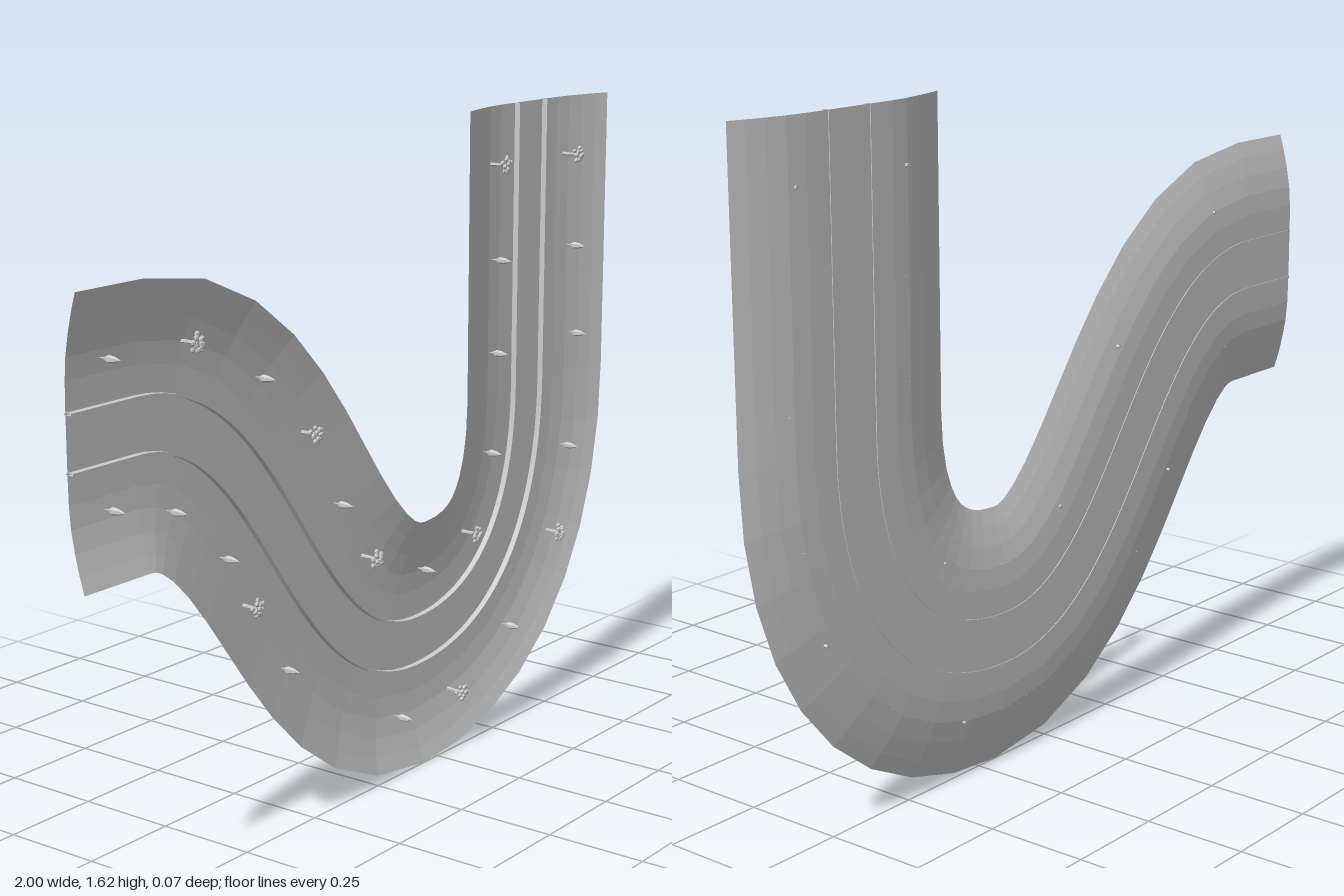
import * as THREE from 'three';
import { mergeGeometries } from 'three/addons/utils/BufferGeometryUtils.js';

const V = (x, y) => new THREE.Vector2(x, y);

// Centre line: short straight, S-bend, quarter turn, long straight
const pieces = [
  [new THREE.LineCurve(V(-1, 1.057), V(-0.8, 1.057)), 2],
  [new THREE.CubicBezierCurve(V(-0.8, 1.057), V(-0.35, 1.057), V(-0.26, 0.317), V(0.19, 0.317)), 12],
  [new THREE.CubicBezierCurve(V(0.19, 0.317), V(0.5, 0.317), V(0.685, 0.537), V(0.685, 0.9)), 9],
  [new THREE.LineCurve(V(0.685, 0.9), V(0.685, 1.617)), 5],
];

// Rows of position and tangent along the centre line
function sampleRows(detail) {
  const rows = [];
  pieces.forEach(([curve, n], k) => {
    for (let i = k ? 1 : 0; i <= n * detail; i++) {
      const t = i / (n * detail);
      rows.push({ p: curve.getPoint(t), t: curve.getTangent(t) });
    }
  });
  return rows;
}

// Sweeps a cross-section of [sideways, z] points along the rows
function sweep(profile, rows) {
  const pos = [], index = [], m = profile.length;
  rows.forEach(({ p, t }, i) => {
    for (const [u, z] of profile) pos.push(p.x - t.y * u, p.y + t.x * u, z);
    if (!i) return;
    for (let j = 0; j < m - 1; j++) {
      const a = (i - 1) * m + j, b = i * m + j;
      index.push(a, b, b + 1, a, b + 1, a + 1);
    }
  });
  const g = new THREE.BufferGeometry();
  g.setAttribute('position', new THREE.Float32BufferAttribute(pos, 3));
  g.setIndex(index);
  g.computeVertexNormals();
  return g;
}

// Small seeded random generator
let seed = 7;
const rnd = () => (seed = (seed * 16807) % 2147483647) / 2147483647;

// Tree with a thin trunk and a ragged crown of small leaf clumps
function bigTree() {
  const parts = [new THREE.CylinderGeometry(0.003, 0.005, 0.05, 5).rotateX(Math.PI / 2).toNonIndexed().translate(0, 0, -0.013)];
  for (let i = 0; i < 12; i++) {
    const a = i * 2.4, r = 0.021 * Math.sqrt(i / 12);
    const leaf = new THREE.IcosahedronGeometry(0.006 + 0.002 * rnd(), 0);
    leaf.scale(1, 1, 0.7).translate(Math.cos(a) * r, Math.sin(a) * r, 0.028 - r * 0.7 - 0.006 * rnd());
    parts.push(leaf);
  }
  return mergeGeometries(parts);
}

// Slender bush: a stem with a spindle-shaped crown
function smallTree() {
  const points = [V(0, -0.038), V(0.002, -0.022), V(0.009, -0.008), V(0.007, 0.008), V(0, 0.026)];
  return new THREE.LatheGeometry(points, 6).rotateX(Math.PI / 2);
}

export function createModel() {
  const group = new THREE.Group();
  const mat = new THREE.MeshStandardMaterial({ color: 0xcccccc, flatShading: true, side: THREE.DoubleSide });
  const add = (name, geometry) => {
    const mesh = new THREE.Mesh(geometry, mat);
    mesh.name = name;
    group.add(mesh);
    return mesh;
  };

  // Valley sheet with banks rising toward the front
  const half = [[0, -0.037], [0.07, -0.037], [0.13, -0.036], [0.18, -0.032], [0.23, -0.023], [0.275, -0.012], [0.315, 0]];
  const valley = [...half.slice(1).reverse().map(([u, z]) => [-u, z]), ...half];
  add('valleyGround', sweep(valley, sampleRows(1)));

  // Two thin kerbs along the track
  for (const side of [-1, 1]) {
    const c = side * 0.0625, w = 0.0025;
    const kerb = [[c - w, -0.022], [c + w, -0.022], [c + w, -0.039], [c - w, -0.039], [c - w, -0.022]];
    add(side > 0 ? 'innerKerb' : 'outerKerb', sweep(kerb, sampleRows(3)));
  }

  // Trees and bushes scattered on the banks
  const big = [[0.51, 1.475], [0.845, 1.47], [-0.65, 1.215], [-0.25, 0.94], [-0.02, 0.59],
    [-0.465, 0.58], [0.4, 0.555], [0.79, 0.47], [0.34, 0.15]];
  const small = [[-0.9, 1.22], [-0.41, 1.095], [-0.13, 0.745], [0.205, 0.505], [0.49, 0.745], [0.51, 1.0],
    [0.52, 1.235], [0.865, 1.23], [0.88, 0.995], [0.85, 0.695], [0.585, 0.26], [0.11, 0.145],
    [-0.335, 0.395], [-0.54, 0.71], [-0.71, 0.855], [-0.9, 0.9]];
  const treeGeo = bigTree(), bushGeo = smallTree();
  big.forEach(([x, y], i) => {
    const tree = add('tree', treeGeo);
    tree.position.set(x, y, 0);
    tree.rotation.z = i * 1.3;
  });
  small.forEach(([x, y]) => add('bush', bushGeo).position.set(x, y, 0));

  return group;
}
